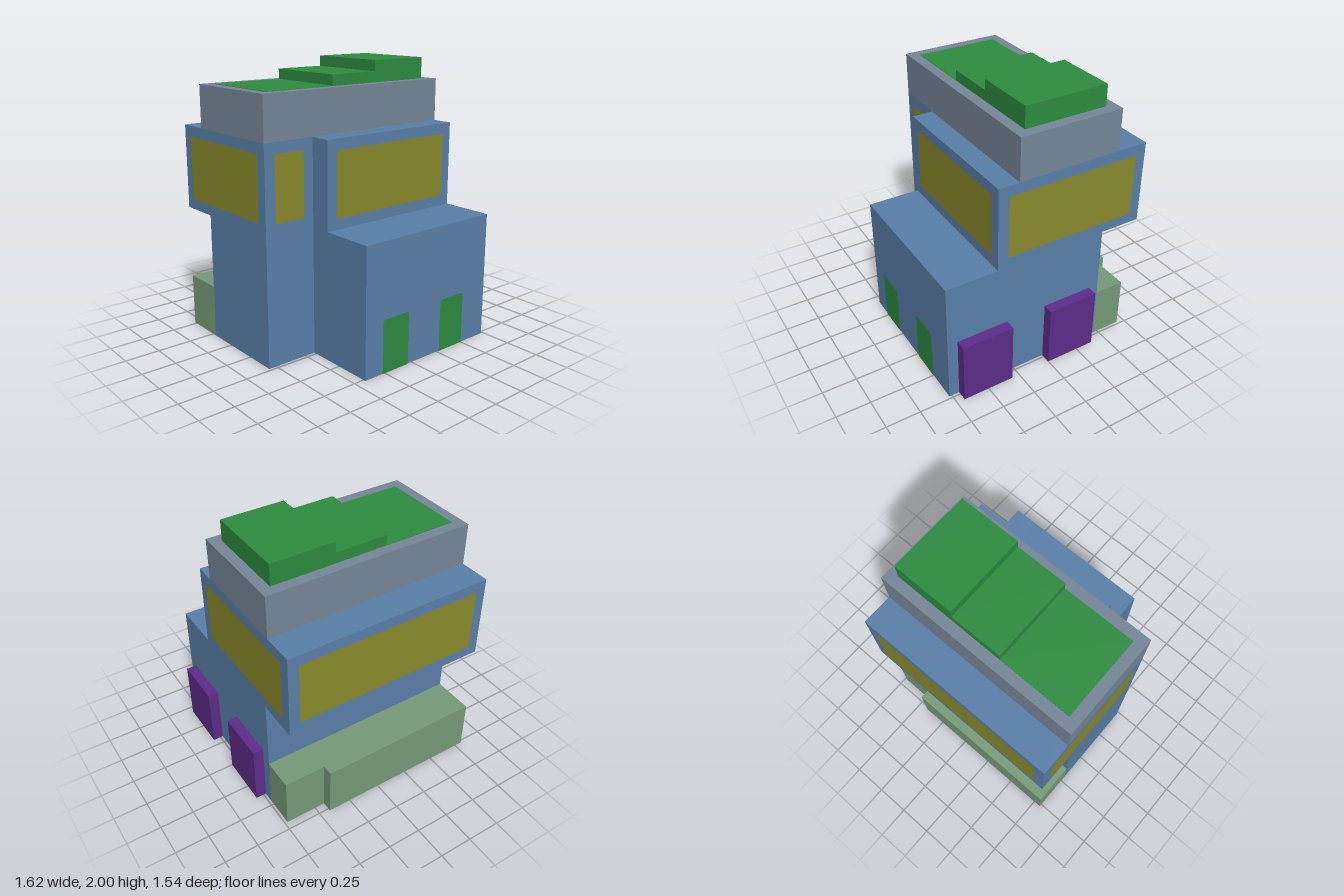
import * as THREE from 'three';

const mat = (name, color) => {
  const m = new THREE.MeshStandardMaterial({ color });
  m.name = name;
  return m;
};

export function createModel() {
  const house = new THREE.Group();
  house.name = 'house';
  const wall = mat('wall blue', 0x5a80aa);
  const slate = mat('parapet grey', 0x768799);
  const green = mat('bright green', 0x2d8c40);
  const glass = mat('window olive', 0x8a8a2c);
  const purple = mat('box purple', 0x5e2c8a);
  const sage = mat('planter sage', 0x769a78);

  const add = (name, geometry, material) => {
    const mesh = new THREE.Mesh(geometry, material);
    mesh.name = name;
    house.add(mesh);
    return mesh;
  };

  // Box given by its limits
  const block = (name, m, [x0, x1], [y0, y1], [z0, z1]) =>
    add(name, new THREE.BoxGeometry(x1 - x0, y1 - y0, z1 - z0), m)
      .position.set((x0 + x1) / 2, (y0 + y1) / 2, (z0 + z1) / 2);

  // Upright prism over a floor plan of [x, z] corners
  const storey = (name, m, plan, y0, y1) => {
    const shape = new THREE.Shape(plan.map(([x, z]) => new THREE.Vector2(x, -z)));
    const g = new THREE.ExtrudeGeometry(shape, { depth: y1 - y0, bevelEnabled: false });
    g.rotateX(-Math.PI / 2).translate(0, y0, 0);
    add(name, g, m);
  };

  // Thin rounded panel: centre, size and heading of its face
  const panel = (name, m, [x, y, z], w, h, turn) => {
    const a = w / 2, b = h / 2, r = 0.02, s = new THREE.Shape();
    s.moveTo(-a + r, -b).lineTo(a - r, -b).quadraticCurveTo(a, -b, a, -b + r);
    s.lineTo(a, b - r).quadraticCurveTo(a, b, a - r, b);
    s.lineTo(-a + r, b).quadraticCurveTo(-a, b, -a, b - r);
    s.lineTo(-a, -b + r).quadraticCurveTo(-a, -b, -a + r, -b);
    const mesh = add(name, new THREE.ShapeGeometry(s, 4), m);
    mesh.position.set(x, y, z);
    mesh.rotation.y = turn;
    mesh.translateZ(0.003);
  };

  // Walls: the two L-shaped floors differ only in their front and back depth
  const plan = (back, front) => [
    [-0.808, back], [-0.808, 0.231], [-0.423, 0.231],
    [-0.423, front], [0.731, front], [0.731, back],
  ];
  storey('groundFloor', wall, plan(-0.462, 0.769), 0, 0.923);
  storey('upperFloor', wall, plan(-0.769, 0.385), 0.923, 1.538);

  // Parapet and stepped roof garden
  block('parapet', slate, [-0.808, 0.731], [1.538, 1.846], [-0.538, 0.231]);
  block('roofLawn', green, [-0.731, -0.192], [1.842, 1.849], [-0.462, 0.154]);
  block('lowRoofStep', green, [-0.192, 0.192], [1.846, 1.923], [-0.462, 0.154]);
  block('highRoofStep', green, [0.192, 0.654], [1.846, 2], [-0.462, 0.154]);

  // Planter along the back, shallower at one end
  block('longPlanter', sage, [-0.808, 0.423], [0, 0.385], [-0.769, -0.462]);
  block('shortPlanter', sage, [0.423, 0.731], [0, 0.385], [-0.692, -0.462]);

  // Side boxes
  for (const z of [0.308, -0.385])
    block('sideBox', purple, [0.731, 0.808], [0, 0.462], [z, z + 0.385]);

  // Doors, wrapping slightly under the front edge
  for (const x of [-0.154, 0.385]) {
    panel('door', green, [x, 0.192, 0.769], 0.231, 0.385, 0);
    block('doorSill', green, [x - 0.115, x + 0.115], [-0.001, 0.02], [0.73, 0.771]);
  }

  // Windows
  const y = 1.231, h = 0.462;
  panel('frontWindow', glass, [0.154, y, 0.385], 1, h, 0);
  panel('smallFrontWindow', glass, [-0.615, y, 0.231], 0.231, h, 0);
  panel('sideWindow', glass, [0.731, y, -0.192], 1, h, Math.PI / 2);
  panel('backWindow', glass, [-0.038, y, -0.769], 1.385, h, Math.PI);
  panel('shortSideWindow', glass, [-0.808, y, -0.269], 0.846, h, -Math.PI / 2);

  return house;
}
